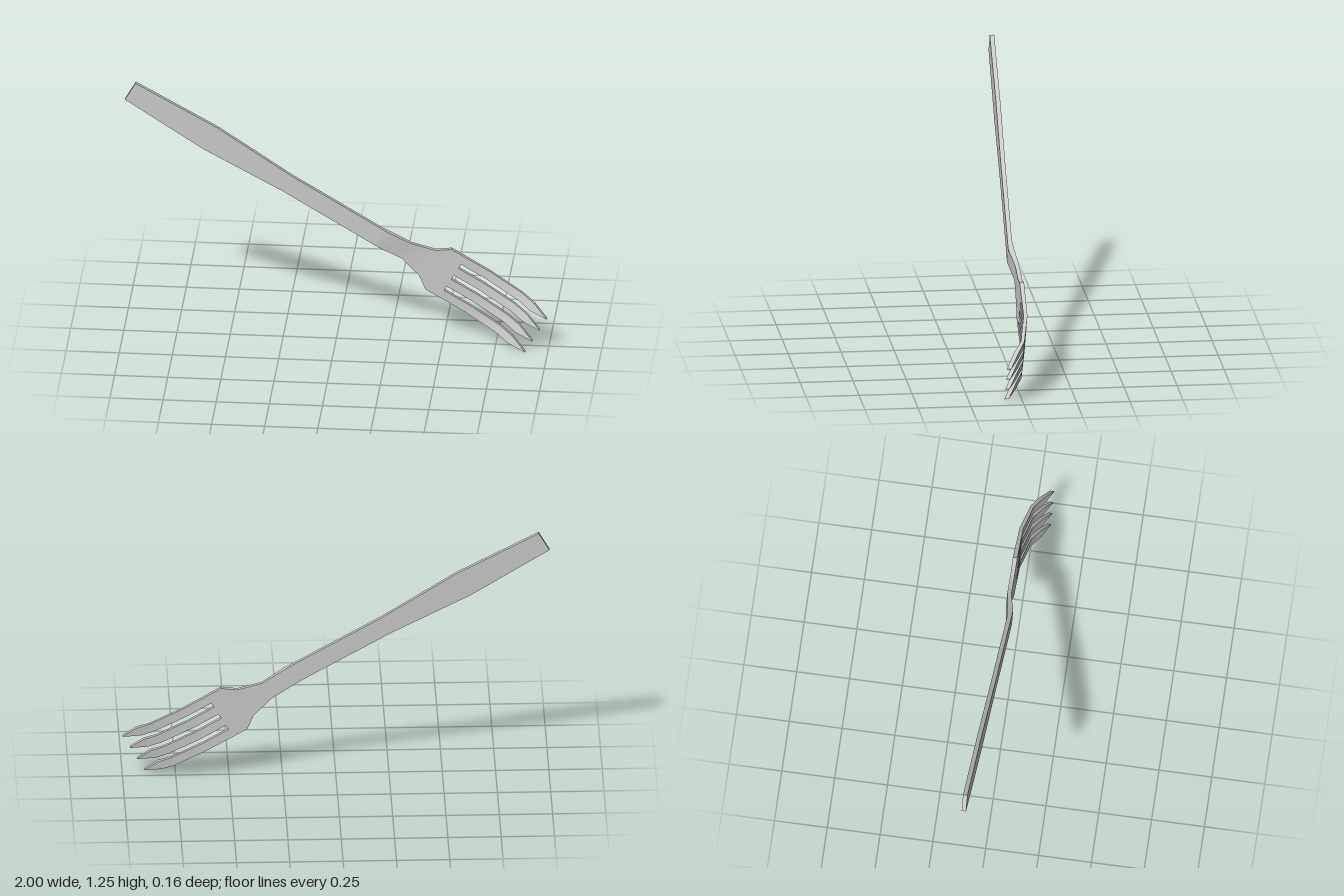
import * as THREE from 'three';
import { mergeVertices, toCreasedNormals } from 'three/addons/utils/BufferGeometryUtils.js';

// Bend of the sheet along its length: [distance, front z, back z]
const BEND = [
  [0, -0.058, -0.079], [1.335, -0.012, -0.033], [1.39, -0.01, -0.038], [1.506, -0.033, -0.052],
  [1.682, -0.031, -0.052], [1.9, -0.029, -0.047], [2.07, 0.001, -0.016],
  [2.14, 0.04, 0.018], [2.224, 0.08, 0.06],
];
// Half widths along the length: [distance, half width]
const BODY = [[0, 0.0495], [0.438, 0.065], [0.858, 0.045], [1.506, 0.045], [1.622, 0.077], [1.682, 0.122], [1.76, 0.122]];
const TINE = [[1.76, 0.0213], [2.14, 0.0213], [2.224, 0.001]];
const TINE_SPACING = 0.0671;

// Linear lookup of column c at distance u
function sample(table, u, c) {
  let i = 1;
  while (i < table.length - 1 && table[i][0] < u) i++;
  const a = table[i - 1], b = table[i];
  return THREE.MathUtils.lerp(a[c], b[c], (u - a[0]) / (b[0] - a[0]));
}

// Loft a bent strip with a four-cornered section, centred on y = offset
function bentStrip(outline, offset = 0) {
  const start = outline[0][0], end = outline[outline.length - 1][0];
  const us = [...outline, ...BEND].map((p) => p[0]).filter((u) => u >= start && u <= end);
  const stations = [...new Set(us)].sort((a, b) => a - b);
  const position = [], index = [];
  stations.forEach((u, s) => {
    const w = sample(outline, u, 1), front = sample(BEND, u, 1), back = sample(BEND, u, 2);
    position.push(u, offset - w, front, u, offset + w, front, u, offset + w, back, u, offset - w, back);
    if (s === 0) return;
    for (let k = 0; k < 4; k++) {
      const a = (s - 1) * 4 + k, b = (s - 1) * 4 + (k + 1) % 4;
      index.push(a, a + 4, b + 4, a, b + 4, b);
    }
  });
  // end caps
  const e = (stations.length - 1) * 4;
  index.push(0, 1, 2, 0, 2, 3, e, e + 2, e + 1, e, e + 3, e + 2);
  const geometry = new THREE.BufferGeometry();
  geometry.setAttribute('position', new THREE.Float32BufferAttribute(position, 3));
  geometry.setIndex(index);
  return toCreasedNormals(mergeVertices(geometry), 0.6);
}

export function createModel() {
  const model = new THREE.Group();
  model.name = 'fork';
  const material = new THREE.MeshStandardMaterial({ color: 0xcccccc });

  // Everything is built along x, then tilted down to the right
  const tilted = new THREE.Group();
  tilted.name = 'tiltedFork';
  tilted.position.set(-0.975, 1.21, 0);
  tilted.rotation.z = THREE.MathUtils.degToRad(-30.3);
  model.add(tilted);

  const add = (name, geometry) => {
    const mesh = new THREE.Mesh(geometry, material);
    mesh.name = name;
    tilted.add(mesh);
  };

  // Handle, neck and shoulder in one strip
  add('handleAndShoulder', bentStrip(BODY));

  // Four pointed tines
  for (let i = 0; i < 4; i++) add(`tine${i + 1}`, bentStrip(TINE, (i - 1.5) * TINE_SPACING));

  return model;
}
